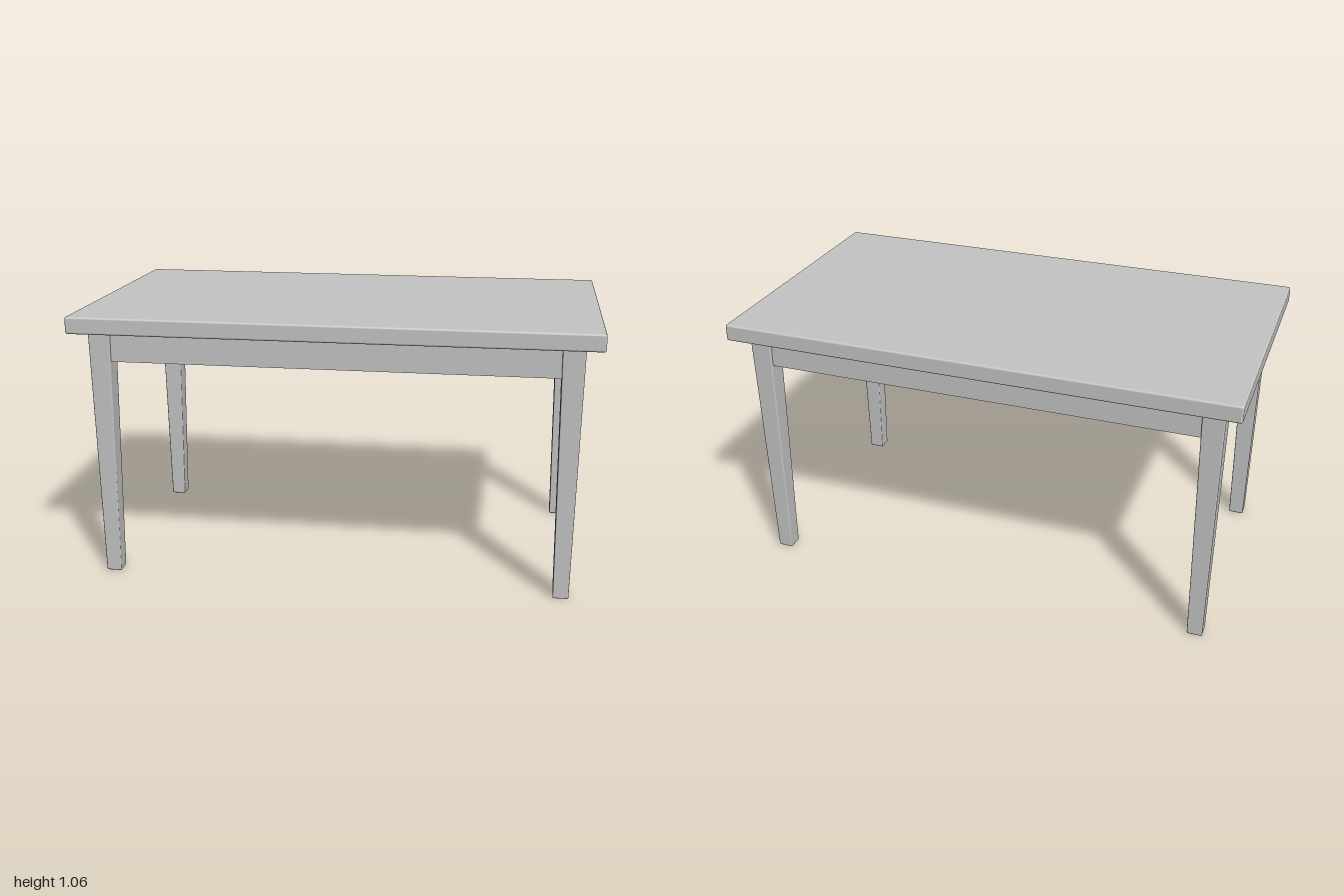
import * as THREE from 'three';
import { RoundedBoxGeometry } from 'three/addons/geometries/RoundedBoxGeometry.js';

const TOP_Y = 1.058, UNDER_Y = 0.992;   // tabletop faces
const LEG_X = 0.893, LEG_Z = 0.452;     // leg centres
const LEG_TOP = 0.085, LEG_FOOT = 0.06; // leg widths

// Square leg with softened edges, narrowing towards the foot
function legGeometry() {
  const geo = new RoundedBoxGeometry(LEG_TOP, UNDER_Y, LEG_TOP, 3, 0.006);
  geo.translate(0, UNDER_Y / 2, 0);
  const p = geo.attributes.position;
  for (let i = 0; i < p.count; i++) {
    const s = THREE.MathUtils.lerp(LEG_FOOT / LEG_TOP, 1, p.getY(i) / UNDER_Y);
    p.setX(i, p.getX(i) * s);
    p.setZ(i, p.getZ(i) * s);
  }
  return geo;
}

export function createModel() {
  const group = new THREE.Group();
  group.name = 'table';
  const grey = new THREE.MeshStandardMaterial({ color: 0xc4c4c4 });
  grey.name = 'light grey';

  const add = (name, geo, x, y, z) => {
    const mesh = new THREE.Mesh(geo, grey);
    mesh.name = name;
    mesh.position.set(x, y, z);
    group.add(mesh);
  };

  // Tabletop
  add('tabletop', new RoundedBoxGeometry(2, TOP_Y - UNDER_Y, 1.115, 3, 0.008),
    0, (TOP_Y + UNDER_Y) / 2, 0);

  // Four tapered legs
  const leg = legGeometry();
  for (const [sx, side] of [[1, 'Left'], [-1, 'Right']])
    for (const [sz, end] of [[1, 'front'], [-1, 'back']])
      add(`${end}${side}Leg`, leg, sx * LEG_X, 0, sz * LEG_Z);

  // Apron rails, set slightly in from the outer leg faces
  const low = 0.873, h = UNDER_Y - low, t = 0.034, inset = 0.014;
  const longRail = new THREE.BoxGeometry(LEG_X * 2 - 0.06, h, t);
  const shortRail = new THREE.BoxGeometry(t, h, LEG_Z * 2 - 0.06);
  for (const s of [1, -1]) {
    add(s > 0 ? 'frontApron' : 'backApron', longRail, 0, low + h / 2, s * (LEG_Z + inset));
    add(s > 0 ? 'leftApron' : 'rightApron', shortRail, s * (LEG_X + inset), low + h / 2, 0);
  }
  return group;
}
